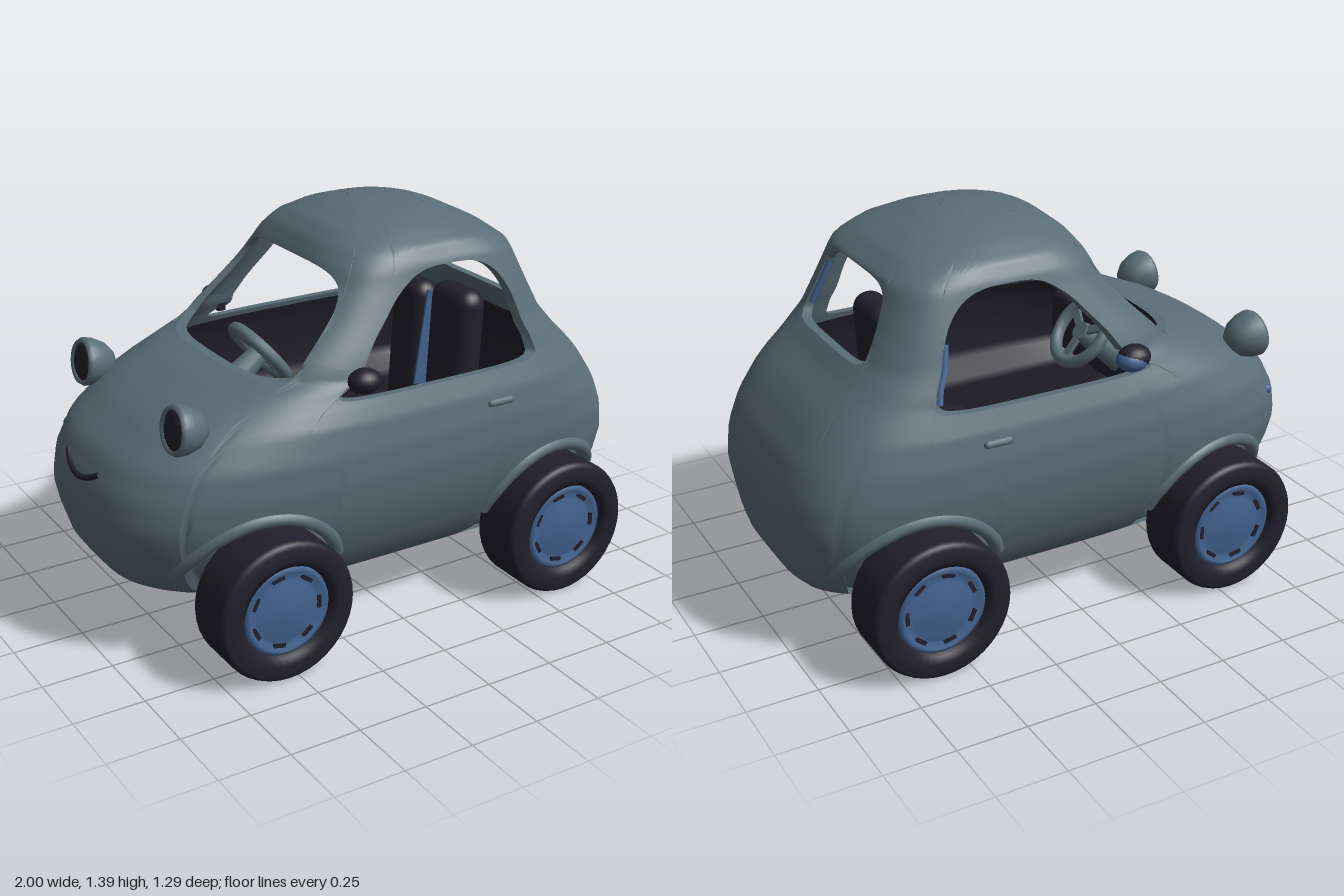
import * as THREE from 'three';
import { RoundedBoxGeometry } from 'three/addons/geometries/RoundedBoxGeometry.js';

const mat = (name, color, side = THREE.FrontSide) => {
  const m = new THREE.MeshStandardMaterial({ color, side });
  m.name = name;
  return m;
};

// Horizontal body sections: height, front x, rear x, half width
const SECTIONS = [
  [0.19, -0.8, 0.88, 0.37], [0.25, -0.905, 0.955, 0.45], [0.32, -0.955, 0.975, 0.495], [0.42, -0.985, 0.99, 0.535],
  [0.5, -1, 1, 0.555], [0.6, -0.98, 0.985, 0.565], [0.7, -0.925, 0.945, 0.56], [0.8, -0.8, 0.88, 0.54],
  [0.85, -0.71, 0.84, 0.52], [0.9, -0.58, 0.79, 0.5], [0.93, -0.47, 0.76, 0.49], [1, -0.39, 0.7, 0.467],
  [1.1, -0.27, 0.65, 0.435], [1.2, -0.18, 0.605, 0.4], [1.25, -0.155, 0.585, 0.385], [1.3, -0.12, 0.52, 0.355],
  [1.34, -0.07, 0.44, 0.28], [1.37, 0.015, 0.35, 0.18], [1.383, 0.08, 0.28, 0.09], [1.388, 0.18, 0.18, 0],
];
const BOTTOM = 0.19, TOP = 1.388;
const WHEELS_X = [-0.54, 0.605];

function section(y) {
  let i = 0;
  while (i < SECTIONS.length - 2 && SECTIONS[i + 1][0] < y) i++;
  const a = SECTIONS[i], b = SECTIONS[i + 1];
  const t = THREE.MathUtils.clamp((y - a[0]) / (b[0] - a[0]), 0, 1);
  const [xf, xb, w] = [1, 2, 3].map(k => a[k] + (b[k] - a[k]) * t);
  const round = THREE.MathUtils.smoothstep(y, 1.2, TOP);
  // Squareness of the outline at the front and the rear
  const front = 3 + THREE.MathUtils.smoothstep(y, 0.85, 1) - 1.8 * round;
  return { c: (xf + xb) / 2, a: (xb - xf) / 2, w, front, rear: 4.3 - 2.1 * round };
}
// Point on the body skin; angle 0 is the rear, PI the nose
function skin(angle, y, scale = 1) {
  const s = section(y), c = Math.cos(angle), d = Math.sin(angle), n = c > 0 ? s.rear : s.front;
  const r = scale * (Math.abs(c) ** n + Math.abs(d) ** n) ** (-1 / n);
  return new THREE.Vector3(s.c + s.a * r * c, y, s.w * r * d);
}
function skinZ(x, y) {
  const s = section(y), f = Math.min(1, Math.abs(x - s.c) / s.a), n = x > s.c ? s.rear : s.front;
  return s.w * (1 - f ** n) ** (1 / n);
}

// Window openings as ranges of angle and height
const windowAt = (name, t0, t1, low, mid, high, arch) => ({ name, t0, t1, low, mid, high, arch });
const WINDOWS = [
  windowAt('rearWindow', -0.53, 0.53, 0.985, 1.1, 1.24, 5),
  windowAt('sideWindow', 0.98, 2.06, 0.87, 0.95, 1.237, 3.4),
  windowAt('windshield', Math.PI - 0.75, Math.PI + 0.75, 0.925, 1.0, 1.24, 5),
  windowAt('sideWindow', 2 * Math.PI - 2.06, 2 * Math.PI - 0.98, 0.87, 0.95, 1.237, 3.4),
];

function buildColumns() {
  const cols = [];
  WINDOWS.forEach((w, k) => {
    w.rim = [];
    const N = 44;
    for (let i = 0; i <= N; i++) {
      const s = -Math.cos(Math.PI * i / N), q = Math.abs(s);
      const col = {
        t: w.t0 + (w.t1 - w.t0) * (s + 1) / 2,
        lo: w.mid - (w.mid - w.low) * Math.max(0, 1 - q ** 8) ** (1 / 8),
        hi: w.mid + (w.high - w.mid) * Math.max(0, 1 - q ** w.arch) ** (1 / w.arch),
      };
      cols.push(col);
      w.rim.push(col);
    }
    const next = WINDOWS[(k + 1) % 4], end = next.t0 + (k === 3 ? 2 * Math.PI : 0);
    for (let i = 1; i < 14; i++) {
      const f = i / 14, m = w.mid + (next.mid - w.mid) * f;
      cols.push({ t: w.t1 + (end - w.t1) * f, lo: m, hi: m });
    }
  });
  // Lower edge rises around the wheels
  for (const c of cols) {
    c.base = BOTTOM;
    for (let y = BOTTOM; y < 0.56; y += 0.004) {
      const p = skin(c.t, y), r = Math.sqrt(Math.max(0, 0.27 ** 2 - Math.max(0, y - 0.25) ** 2));
      if (Math.abs(p.z) > 0.4 && WHEELS_X.some(x => Math.abs(p.x - x) < r)) c.base = y + 0.004;
    }
  }
  return cols;
}

// Closed band of quads through a loop of columns
function band(cols, rows, point) {
  const pos = [], idx = [], n = cols.length;
  for (let r = 0; r <= rows; r++) for (const c of cols) pos.push(...point(c, r / rows).toArray());
  for (let r = 0; r < rows; r++) for (let i = 0; i < n; i++) {
    const a = r * n + i, b = r * n + (i + 1) % n;
    idx.push(a, a + n, b, b, a + n, b + n);
  }
  const g = new THREE.BufferGeometry();
  g.setAttribute('position', new THREE.Float32BufferAttribute(pos, 3));
  g.setIndex(idx);
  g.computeVertexNormals();
  return g;
}

const lathe = (pts, seg = 32) => new THREE.LatheGeometry(pts.map(p => new THREE.Vector2(...p)), seg);
const tube = (pts, r, seg = 60) => new THREE.TubeGeometry(new THREE.CatmullRomCurve3(pts), seg, r, 8);

export function createModel() {
  const car = new THREE.Group();
  car.name = 'car';
  const paint = mat('slatePaint', 0x5a6d77, THREE.DoubleSide);
  const dark = mat('darkRubber', 0x22202c, THREE.DoubleSide);
  const lining = mat('darkLining', 0x22202c, THREE.BackSide);
  const blue = mat('blueMetal', 0x43638f, THREE.DoubleSide);
  const add = (name, geo, m, pos = [0, 0, 0], parent = car) => {
    const mesh = new THREE.Mesh(geo, m);
    mesh.name = name;
    mesh.position.set(...pos);
    parent.add(mesh);
    return mesh;
  };

  // Body shell below and above the windows
  const cols = buildColumns();
  const INNER = 0.945;
  const ease = s => Math.sin(s * Math.PI / 2);
  add('lowerBody', band(cols, 34, (c, s) => skin(c.t, c.base + (c.lo - c.base) * ease(s))), paint);
  add('roof', band(cols, 24, (c, s) => skin(c.t, c.hi + (TOP - c.hi) * ease(s))), paint);
  add('floor', band(cols, 2, (c, s) => skin(c.t, BOTTOM, 1 - s).setY(BOTTOM - 0.02 * s)), paint);

  // Inner walls: painted towards the wheels, dark towards the cabin
  const inner = band(cols, 20, (c, s) => {
    const p = skin(c.t, 0.2 + 0.65 * s, INNER);
    if (p.y < 0.54) p.z = THREE.MathUtils.clamp(p.z, -0.425, 0.425);
    return p;
  });
  add('wheelWells', inner, mat('slateWell', 0x5a6d77));
  add('interiorLining', inner, lining);
  add('interiorFloor', band(cols, 1, (c, s) => skin(c.t, 0.27, 0.9 * (1 - s))), dark);
  add('innerPillars', band(cols, 6, (c, s) => skin(c.t, 0.85 + (c.lo - 0.85) * s, INNER)), paint);
  add('headliner', band(cols, 16, (c, s) => skin(c.t, c.hi + (TOP - 0.025 - c.hi) * ease(s), INNER)), paint);

  // Thickness of the shell around each opening
  for (const w of WINDOWS) {
    const rim = [...w.rim.map(c => ({ t: c.t, y: c.lo })),
      ...w.rim.slice(1, -1).reverse().map(c => ({ t: c.t, y: c.hi }))];
    add(w.name + 'Frame', band(rim, 1, (c, s) => skin(c.t, c.y, 1 - (1 - INNER) * s)), paint);
  }
  // Blue inner edges of two openings
  for (const [t, y0, y1] of [[0.52, 1.03, 1.18], [2 * Math.PI - 0.99, 0.9, 1.08]]) {
    const edge = [0, 1, 2, 3, 4].map(i => skin(t, y0 + (y1 - y0) * i / 4, 0.965));
    add('windowEdge', tube(edge, 0.013, 16), blue);
  }

  // Seats, dashboard and steering
  for (const [z, top, width] of [[0.137, 1.05, 0.23], [-0.125, 1.01, 0.19]]) {
    const back = add('seatBack', new RoundedBoxGeometry(0.12, top - 0.35, width, 5, 0.058), dark,
      [0.445, (top + 0.35) / 2, z]);
    back.rotation.z = -0.06;
    add('seatCushion', new RoundedBoxGeometry(0.36, 0.14, 0.25, 3, 0.04), dark, [0.26, 0.45, z]);
  }
  add('seatTrim', new THREE.BoxGeometry(0.09, 0.36, 0.008), blue, [0.43, 0.82, 0.018]).rotation.z = -0.15;
  add('dashboard', new RoundedBoxGeometry(0.1, 0.22, 0.76, 3, 0.03), dark, [-0.42, 0.73, 0]);
  const steering = new THREE.Group();
  steering.name = 'steering';
  steering.position.set(-0.235, 0.86, -0.08);
  steering.rotation.z = -0.9;
  car.add(steering);
  const ring = add('steeringWheel', new THREE.TorusGeometry(0.122, 0.023, 10, 32), paint, [0, 0, 0], steering);
  ring.rotation.x = Math.PI / 2;
  add('steeringColumn', new THREE.CylinderGeometry(0.035, 0.06, 0.24, 14), paint, [0, -0.11, 0], steering);
  for (let i = 0; i < 3; i++) {
    const a = i * Math.PI * 2 / 3;
    const spoke = add('steeringSpoke', new THREE.BoxGeometry(0.11, 0.014, 0.03), paint,
      [0.06 * Math.cos(a), 0, -0.06 * Math.sin(a)], steering);
    spoke.rotation.y = a;
  }

  const tire = lathe([[0.155, -0.07], [0.165, -0.095], [0.19, -0.105], [0.232, -0.102], [0.244, -0.094], [0.25, -0.08],
    [0.25, 0.08], [0.244, 0.094], [0.232, 0.102], [0.19, 0.105], [0.165, 0.095], [0.155, 0.05]], 40);
  const hub = lathe([[0.165, 0.045], [0.158, 0.08], [0.14, 0.09], [0.124, 0.07], [0.108, 0.085], [0, 0.092]]);
  const hubBack = lathe([[0.03, -0.14], [0.08, -0.1], [0.16, -0.06]]);
  for (const side of [1, -1]) {
    for (const x of WHEELS_X) {
      // Wheel with slotted hub
      const wheel = new THREE.Group();
      wheel.name = 'wheel';
      wheel.position.set(x, 0.25, side * 0.54);
      wheel.rotation.x = side * Math.PI / 2;
      car.add(wheel);
      add('tire', tire, dark, [0, 0, 0], wheel);
      add('hub', hub, blue, [0, 0, 0], wheel);
      add('hubBack', hubBack, blue, [0, 0, 0], wheel);
      for (let i = 0; i < 7; i++) {
        const a = i * Math.PI * 2 / 7;
        const slot = add('hubSlot', new THREE.BoxGeometry(0.014, 0.008, 0.045), dark,
          [0.124 * Math.cos(a), 0.077, -0.124 * Math.sin(a)], wheel);
        slot.rotation.y = a;
      }
      // Raised lip over the wheel
      const lip = [];
      for (let i = 0; i <= 16; i++) {
        const a = Math.PI * (0.1 + 0.8 * i / 16);
        const px = x + 0.285 * Math.cos(a), py = 0.25 + 0.285 * Math.sin(a);
        lip.push(new THREE.Vector3(px, py, side * (skinZ(px, py) - 0.012)));
      }
      add('wheelArch', tube(lip, 0.026), paint);
    }

    // Headlight
    const lamp = new THREE.Group();
    lamp.name = 'headlight';
    lamp.position.set(-0.765, 0.842, side * 0.355);
    lamp.rotation.z = Math.PI / 2 - 0.15;
    car.add(lamp);
    add('headlightShell', lathe([[0, -0.09], [0.035, -0.083], [0.065, -0.052], [0.082, -0.01], [0.086, 0.022],
      [0.077, 0.038], [0.066, 0.03]], 24), paint, [0, 0, 0], lamp);
    add('headlightLens', new THREE.SphereGeometry(0.07, 20, 10), dark, [0, 0.022, 0], lamp).scale.y = 0.3;

    // Mirror and door handle
    const mirror = add('sideMirror', new THREE.SphereGeometry(1, 18, 12), dark, [-0.178, 0.94, side * 0.512]);
    mirror.scale.set(0.058, 0.042, 0.05);
    add('mirrorStalk', new THREE.BoxGeometry(0.03, 0.03, 0.07), dark, [-0.19, 0.912, side * 0.48]);
    if (side < 0) {
      const glass = add('mirrorGlass', new THREE.SphereGeometry(1, 18, 12), blue, [-0.168, 0.931, -0.514]);
      glass.scale.set(0.056, 0.04, 0.051);
    }
    const handle = add('doorHandle', new THREE.CapsuleGeometry(0.013, 0.08, 4, 10), paint,
      [0.355, 0.765, side * (skinZ(0.355, 0.765) + 0.002)]);
    handle.rotation.z = Math.PI / 2;
  }

  // Axles
  for (const x of WHEELS_X) {
    const axle = add('axle', new THREE.CylinderGeometry(0.03, 0.03, 0.86, 14), blue, [x, 0.208, 0]);
    axle.rotation.x = Math.PI / 2;
  }

  // Curved slit on the nose and a small side marker
  const slit = [];
  for (let i = -6; i <= 6; i++) slit.push(skin(Math.PI + i / 6 * 0.22, 0.6 + 0.04 * (i / 6) ** 2));
  add('noseSlit', tube(slit, 0.011), dark);
  add('marker', new THREE.SphereGeometry(0.02, 12, 8), blue, [-0.845, 0.62, 0.01 - skinZ(-0.845, 0.62)]);
  return car;
}
